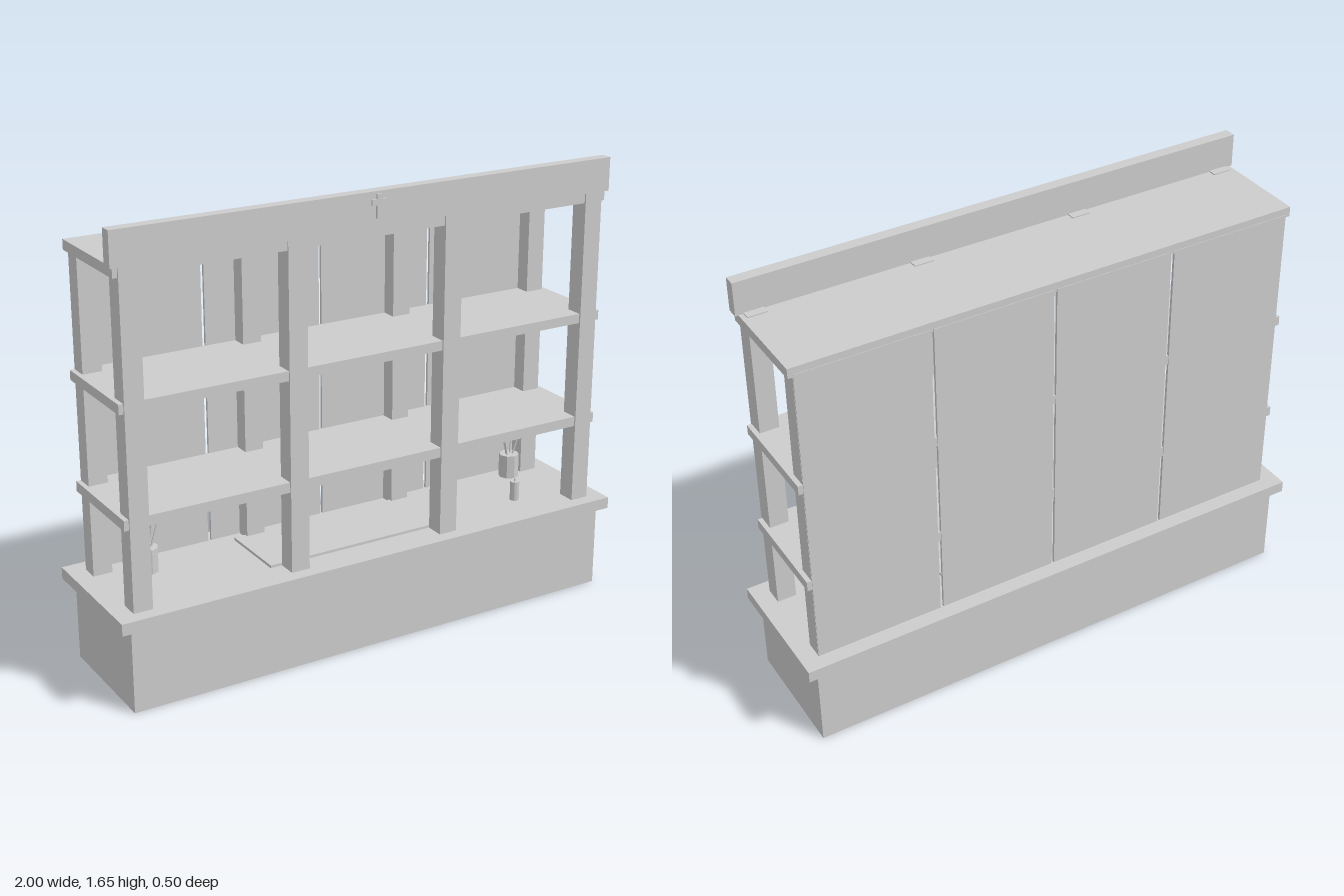
import * as THREE from 'three';

export function createModel() {
  const model = new THREE.Group();
  const grey = new THREE.MeshStandardMaterial({ color: 0xcccccc, flatShading: true });
  grey.name = 'plainGrey';

  const add = (name, geometry, parent = model) => {
    const mesh = new THREE.Mesh(geometry, grey);
    mesh.name = name;
    parent.add(mesh);
    return mesh;
  };
  // Box given by its limits on each axis
  const box = (name, x0, x1, y0, y1, z0, z1) =>
    add(name, new THREE.BoxGeometry(x1 - x0, y1 - y0, z1 - z0)
      .translate((x0 + x1) / 2, (y0 + y1) / 2, (z0 + z1) / 2));

  // Plinth and its overhanging slab
  box('plinth', -0.96, 0.96, 0, 0.305, -0.228, 0.23);
  box('slab', -1, 1, 0.305, 0.348, -0.25, 0.25);
  box('mat', -0.385, 0.38, 0.345, 0.358, -0.14, 0.13);

  // Four posts in front and four behind
  for (const x of [-0.9, -0.305, 0.305, 0.9]) {
    box('frontPost', x - 0.035, x + 0.035, 0.345, 1.53, 0.13, 0.2);
    box('backPost', x - 0.035, x + 0.035, 0.345, 1.5, -0.19, -0.125);
  }

  // Two shelves and the roof board
  for (const [name, y0, y1] of [['shelf', 0.645, 0.682], ['shelf', 1.045, 1.08], ['roof', 1.49, 1.526]]) {
    box(name, -0.952, 0.952, y0, y1, -0.191, 0.194);
  }

  // Back boards with narrow gaps between them
  for (const [x0, x1] of [[-0.934, -0.467], [-0.455, -0.005], [0.005, 0.45], [0.462, 0.934]]) {
    box('backBoard', x0, x1, 0.345, 1.5, -0.193, -0.183);
  }

  // Header with a small raised cross
  box('header', -0.963, 0.963, 1.525, 1.646, 0.16, 0.203);
  box('crossUpright', -0.01, 0.01, 1.555, 1.637, 0.2, 0.21);
  box('crossArm', -0.028, 0.028, 1.6, 1.62, 0.2, 0.21);

  // Vases, each holding thin stems tipped with buds
  const up = new THREE.Vector3(0, 1, 0);
  const vase = (name, x, z, tips) => {
    const group = new THREE.Group();
    group.name = name;
    group.position.set(x, 0, z);
    model.add(group);
    add('vaseBody', new THREE.CylinderGeometry(0.038, 0.038, 0.09, 8).translate(0, 0.411, 0), group);
    for (const [dx, dz] of tips) {
      const start = new THREE.Vector3(dx * 0.12, 0.43, dz * 0.12);
      const end = new THREE.Vector3(dx, 0.61, dz);
      const dir = end.clone().sub(start);
      const stem = add('stem', new THREE.CylinderGeometry(0.0035, 0.0035, dir.length(), 6), group);
      stem.position.copy(start).lerp(end, 0.5);
      stem.quaternion.setFromUnitVectors(up, dir.normalize());
      add('bud', new THREE.SphereGeometry(0.012, 8, 6), group).position.copy(end);
    }
  };
  vase('leftVase', -0.77, -0.038, [[-0.065, 0.002], [0, 0.048], [0.062, 0.002], [0, -0.045]]);
  vase('rightVase', 0.78, -0.088, [[-0.052, 0.02], [-0.032, -0.025], [0.035, -0.025], [0.055, 0.02]]);

  // Small candle jar
  add('candleJar', new THREE.CylinderGeometry(0.018, 0.018, 0.075, 10)).position.set(0.687, 0.385, 0.08);
  add('candleWick', new THREE.CylinderGeometry(0.003, 0.003, 0.012, 6)).position.set(0.687, 0.426, 0.08);

  return model;
}
